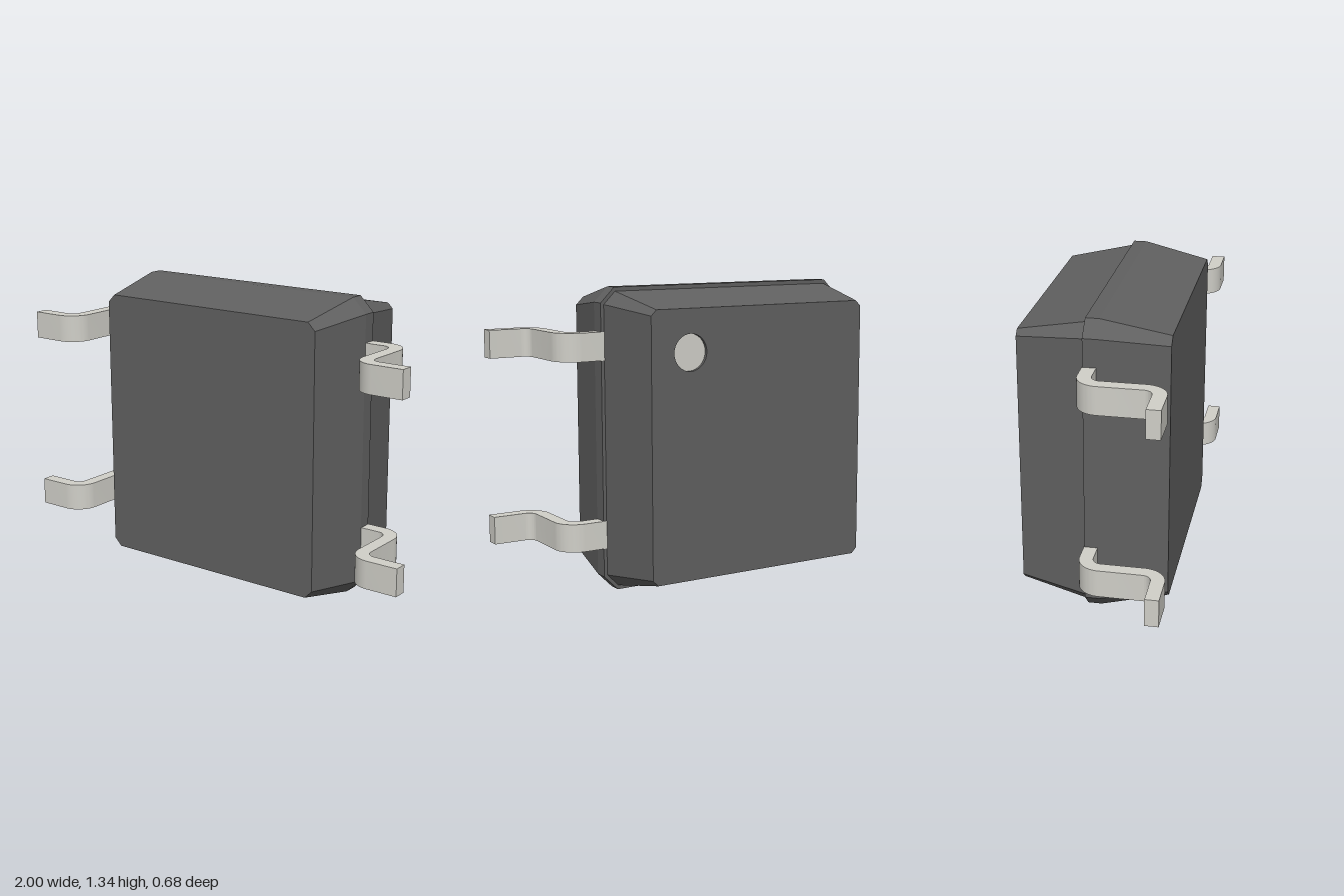
import * as THREE from 'three';
import { toCreasedNormals } from 'three/addons/utils/BufferGeometryUtils.js';

const CY = 0.672; // height of the body's centre
const DOT = { x: 0.355, y: 1.075, r: 0.08, depth: 0.015 };

// Rectangle with cut corners, anticlockwise seen from +z
function octagon(hx, hy, c) {
  return [
    [hx, -hy + c], [hx, hy - c], [hx - c, hy], [-hx + c, hy],
    [-hx, hy - c], [-hx, -hy + c], [-hx + c, -hy], [hx - c, -hy],
  ].map(([x, y]) => new THREE.Vector2(x, y + CY));
}

// Walls joining the outlines from front to back
function loft(sections) {
  const pos = [];
  for (let i = 0; i < sections.length - 1; i++) {
    const a = sections[i], b = sections[i + 1];
    for (let j = 0; j < 8; j++) {
      const k = (j + 1) % 8;
      const put = (s, n) => pos.push(s.pts[n].x, s.pts[n].y, s.z);
      put(a, j); put(b, j); put(b, k);
      put(a, j); put(b, k); put(a, k);
    }
  }
  const geo = new THREE.BufferGeometry();
  geo.setAttribute('position', new THREE.Float32BufferAttribute(pos, 3));
  geo.computeVertexNormals();
  return geo;
}

// Gull-wing lead: bent strip in the x-z plane, extruded along y
function leadGeometry() {
  const R = 0.1, r = 0.04, H = Math.PI / 2;
  const s = new THREE.Shape();
  s.moveTo(0.58, -0.047);
  s.lineTo(0.715, -0.047);
  s.absarc(0.715, 0.053, R, -H, 0, false);
  s.lineTo(0.815, 0.242);
  s.absarc(0.855, 0.242, r, Math.PI, H, true);
  s.lineTo(1, 0.282);
  s.lineTo(1, 0.342);
  s.lineTo(0.855, 0.342);
  s.absarc(0.855, 0.242, R, H, Math.PI, false);
  s.lineTo(0.755, 0.053);
  s.absarc(0.715, 0.053, r, 0, -H, true);
  s.lineTo(0.58, 0.013);
  s.closePath();
  const geo = new THREE.ExtrudeGeometry(s, { depth: 0.124, bevelEnabled: false, curveSegments: 10 });
  geo.translate(0, 0, -0.062).rotateX(Math.PI / 2);
  return toCreasedNormals(geo, 0.5);
}

export function createModel() {
  const model = new THREE.Group();
  model.name = 'chipPackage';
  const plastic = new THREE.MeshStandardMaterial({ color: 0x606060 });
  const metal = new THREE.MeshStandardMaterial({ color: 0xd0cfc8 });
  const add = (parent, name, geo, mat) => {
    const mesh = new THREE.Mesh(geo, mat);
    mesh.name = name;
    parent.add(mesh);
    return mesh;
  };

  // Body: tapered front half, flat rim, slightly smaller tapered back half
  const body = new THREE.Group();
  body.name = 'body';
  model.add(body);
  const sections = [
    { z: 0.312, pts: octagon(0.565, 0.607, 0.035) },
    { z: 0.015, pts: octagon(0.625, 0.67, 0.066) },
    { z: -0.045, pts: octagon(0.625, 0.67, 0.066) },
    { z: -0.045, pts: octagon(0.61, 0.652, 0.055) },
    { z: -0.342, pts: octagon(0.545, 0.59, 0.025) },
  ];
  add(body, 'bodySides', loft(sections), plastic);
  add(body, 'frontFace', new THREE.ShapeGeometry(new THREE.Shape(sections[0].pts)).translate(0, 0, 0.312), plastic);

  // Back face with the round marker recess
  const back = new THREE.Shape(sections[4].pts);
  back.holes.push(new THREE.Path().absarc(-DOT.x, DOT.y, DOT.r, 0, Math.PI * 2, true));
  add(body, 'backFace', new THREE.ShapeGeometry(back, 16).rotateY(Math.PI).translate(0, 0, -0.342), plastic);

  const wallMat = plastic.clone();
  wallMat.side = THREE.DoubleSide;
  const wall = new THREE.CylinderGeometry(DOT.r, DOT.r, DOT.depth, 32, 1, true).rotateX(Math.PI / 2);
  add(body, 'markerWall', wall, wallMat).position.set(DOT.x, DOT.y, -0.342 + DOT.depth / 2);
  const disc = new THREE.CircleGeometry(DOT.r, 32).rotateY(Math.PI);
  add(body, 'markerDisc', disc, metal).position.set(DOT.x, DOT.y, -0.342 + DOT.depth);

  // Two leads on each side
  const lead = leadGeometry();
  for (const side of [1, -1]) {
    for (const y of [0.258, 1.09]) {
      const mesh = add(model, (side > 0 ? 'left' : 'right') + (y > 1 ? 'Upper' : 'Lower') + 'Lead', lead, metal);
      mesh.position.y = y;
      mesh.rotation.z = side > 0 ? 0 : Math.PI;
    }
  }
  return model;
}
